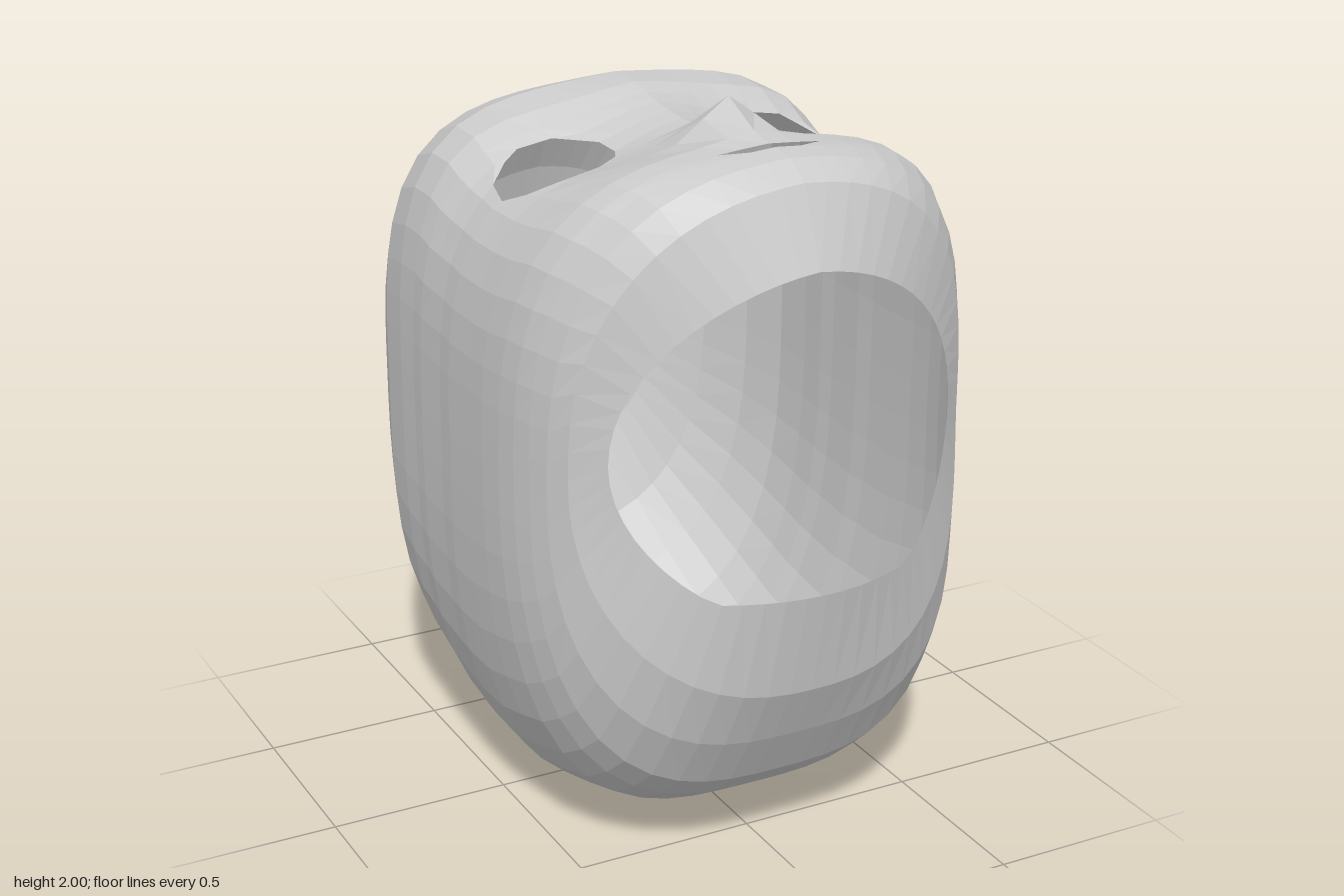
import * as THREE from 'three';

// Rows from the neck rim to the crown:
// [topZ, topY, sideZ, sideX, bottomZ, bottomY, squareness]
const ROWS = [
  [0.82, 1.67, 0.66, 0.49, 0.89, 0.78, 2.0],
  [0.74, 1.87, 0.59, 0.565, 0.83, 0.56, 2.5],
  [0.67, 1.915, 0.53, 0.595, 0.75, 0.40, 2.9],
  [0.60, 1.925, 0.47, 0.615, 0.66, 0.25, 3.1],
  [0.565, 1.925, 0.41, 0.63, 0.57, 0.17, 3.3],
  [0.49, 1.925, 0.34, 0.64, 0.46, 0.10, 3.4],
  [0.36, 1.90, 0.25, 0.645, 0.30, 0.05, 3.5],
  [0.25, 1.89, 0.17, 0.645, 0.14, 0.005, 3.5],
  [0.18, 1.89, 0.10, 0.645, 0.05, 0, 3.5],
  [0.11, 1.89, 0.04, 0.645, -0.02, 0, 3.5],
  [0.04, 1.895, -0.03, 0.64, -0.09, 0, 3.5],
  [-0.03, 1.90, -0.10, 0.64, -0.16, 0.015, 3.6],
  [-0.09, 1.91, -0.16, 0.64, -0.22, 0.025, 3.8],
  [-0.15, 1.925, -0.22, 0.635, -0.28, 0.045, 4.1],
  [-0.27, 1.925, -0.31, 0.635, -0.36, 0.075, 4.1],
  [-0.42, 1.88, -0.43, 0.625, -0.47, 0.13, 3.8],
  [-0.58, 1.81, -0.56, 0.58, -0.62, 0.24, 3.1],
  [-0.70, 1.68, -0.68, 0.50, -0.73, 0.38, 2.7],
  [-0.78, 1.53, -0.77, 0.39, -0.82, 0.60, 2.4],
  [-0.85, 1.30, -0.845, 0.22, -0.87, 0.80, 2.2],
  [-0.88, 1.02, -0.88, 0.0, -0.88, 1.02, 2.0],
];
const COLS = 56;
const EYE = { x: 0.35, z: 0.08, rx: 0.16, rz: 0.145 };

// Nose wedge: rises from the bridge to the tip, then drops to the lip
function noseHeight(x, z) {
  const along = z < 0.36 ? (z - 0.18) / 0.18 : 1 - 0.85 * (z - 0.36) / 0.13;
  return 0.1 * Math.max(0, along) * Math.max(0, 1 - Math.abs(x) / 0.16);
}

// Shallow hollow around each eye
function socketDepth(x, z) {
  const dx = (Math.abs(x) - 0.27) / 0.18, dz = (z - EYE.z) / 0.2;
  return 0.065 * Math.exp(-dx * dx - dz * dz);
}

function skinPoint(i, j) {
  const [tz, ty, sz, sx, bz, by, n0] = ROWS[i];
  const a = (j / COLS) * Math.PI * 2;
  const c = Math.cos(a), s = Math.sin(a), up = s > 0;
  const n = up ? n0 : Math.min(n0, 3);
  const r = (Math.abs(c) ** n + Math.abs(s) ** n) ** (-1 / n);
  const midY = i === ROWS.length - 1 ? 1.02 : i < 2 ? 1.2 - 0.05 * i : 1.09;
  const v = Math.abs(r * s);
  let x = sx * r * c;
  let y = midY + ((up ? ty : by) - midY) * v;
  let z = sz + ((up ? tz : bz) - sz) * v * v;
  let inEye = false;
  if (i === 0) y = Math.max(y, 0.85); // flat lower edge of the neck opening
  if (up && y > 1.5) {
    // Vertices inside an eye hole slide out to its rim
    const ex = Math.sign(x) * EYE.x;
    const d = Math.hypot((x - ex) / EYE.rx, (z - EYE.z) / EYE.rz);
    if (d < 1.04) {
      inEye = true;
      const k = 1 / Math.max(d, 0.01);
      const nx = ex + (x - ex) * k;
      // Keep the moved vertex on the curved face
      y = midY + (ty - midY) * Math.max(0, 1 - Math.min(1, Math.abs(nx) / sx) ** n) ** (1 / n);
      x = nx;
      z = EYE.z + (z - EYE.z) * k;
    }
    y += noseHeight(x, z) - socketDepth(x, z);
  }
  // Face and forehead fall away slightly to the sides
  if (up) y -= 0.07 * Math.abs(x) * v;
  return { x, y, z, inEye };
}

function headGeometry() {
  const grid = ROWS.map((_, i) => Array.from({ length: COLS }, (_, j) => skinPoint(i, j)));
  const pos = [];
  const tri = (a, b, c) => {
    if (a.inEye && b.inEye && c.inEye) return; // eye opening
    const x = (a.x + b.x + c.x) / 3, y = (a.y + b.y + c.y) / 3, z = (a.z + b.z + c.z) / 3;
    if (y > 1.85 && Math.abs(x) < 0.1 && z > 0.562 && z < 0.602) return; // mouth slit
    for (const p of [a, b, c]) pos.push(p.x, p.y, p.z);
  };
  for (let i = 0; i < ROWS.length - 1; i++) {
    for (let j = 0; j < COLS; j++) {
      const k = (j + 1) % COLS;
      const a = grid[i][j], b = grid[i + 1][j], c = grid[i + 1][k], d = grid[i][k];
      // Mirror the diagonal so both halves of the face match
      if (j < COLS / 4 || j >= COLS * 3 / 4) { tri(a, b, d); tri(b, c, d); }
      else { tri(a, b, c); tri(a, c, d); }
    }
  }
  const g = new THREE.BufferGeometry();
  g.setAttribute('position', new THREE.Float32BufferAttribute(pos, 3));
  g.computeVertexNormals();
  return g;
}

export function createModel() {
  const group = new THREE.Group();
  group.name = 'dollHead';
  // Hollow head lying face up, neck opening to the front
  const head = new THREE.Mesh(
    headGeometry(),
    new THREE.MeshStandardMaterial({ color: 0xcccccc, flatShading: true, side: THREE.DoubleSide })
  );
  head.name = 'headShell';
  group.add(head);
  return group;
}
